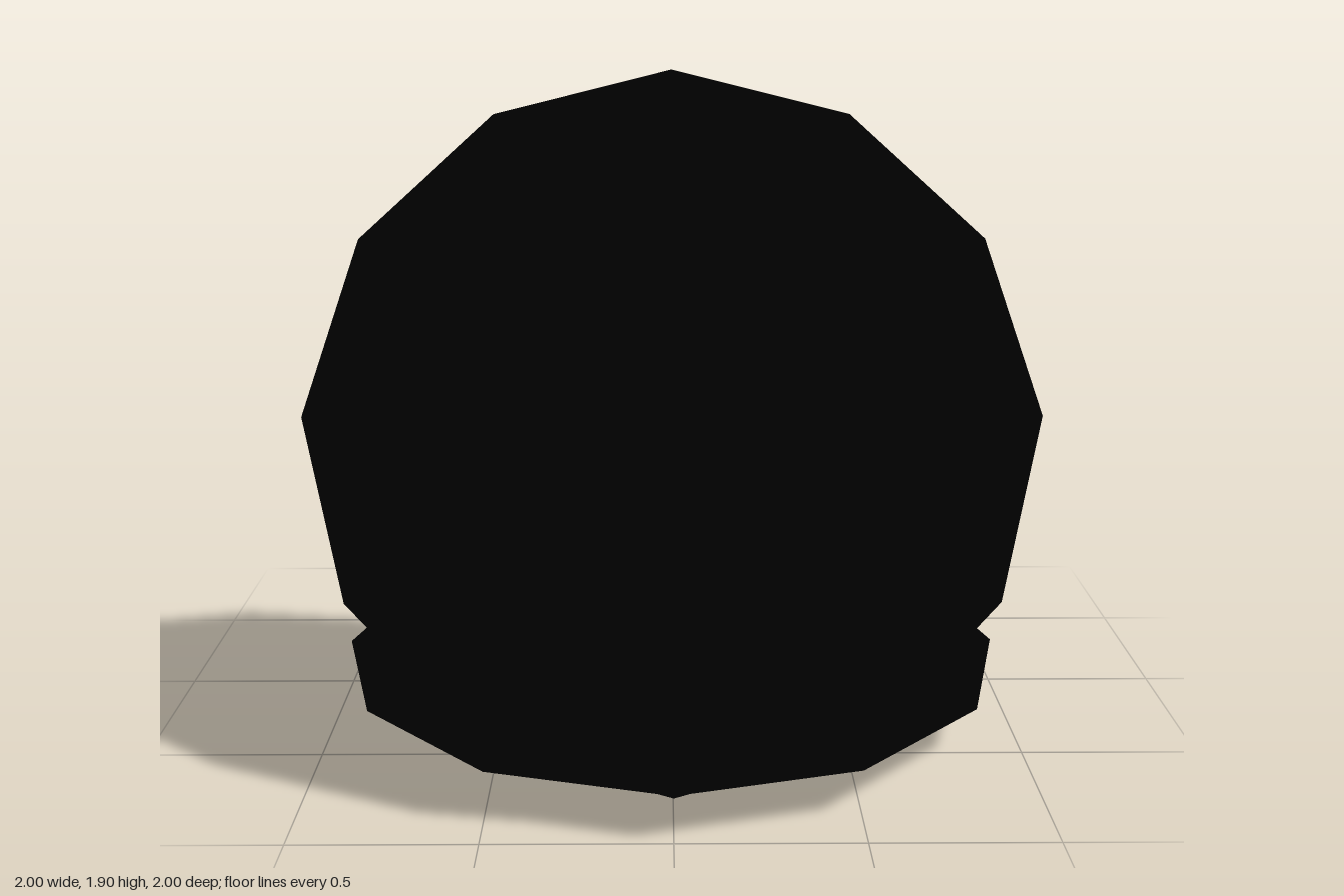
import * as THREE from 'three';

const THICKNESS = 0.135; // half height of the flattened sphere each shell is cut from

export function createModel() {
  const model = new THREE.Group();
  model.name = 'openShell';

  const shellBlack = new THREE.MeshStandardMaterial({ color: 0x000000, side: THREE.DoubleSide });
  shellBlack.name = 'shell black';
  const pearlBlack = new THREE.MeshStandardMaterial({ color: 0x000000 });
  pearlBlack.name = 'pearl black';

  // Hollow twelve-sided dish: a flattened sphere with its top cap cut away
  const shellGeometry = new THREE.SphereGeometry(1, 12, 4, 0, Math.PI * 2, Math.PI / 3, Math.PI * 2 / 3);
  shellGeometry.scale(1, THICKNESS, 1);

  const addPart = (name, geometry, material, x, y, z) => {
    const mesh = new THREE.Mesh(geometry, material);
    mesh.name = name;
    mesh.position.set(x, y, z);
    model.add(mesh);
    return mesh;
  };

  // Lower shell lies flat, opening upwards
  addPart('lowerShell', shellGeometry, shellBlack, 0, THICKNESS, 0);

  // Upper shell stands at the front edge, its opening tilted back and down
  const upper = addPart('upperShell', shellGeometry, shellBlack, 0, 1.005, 0.52);
  upper.rotation.x = -2.037;

  // Pearl in the middle of the lower shell
  addPart('pearl', new THREE.SphereGeometry(0.126, 12, 6), pearlBlack, 0.004, 0.209, -0.008);

  return model;
}
